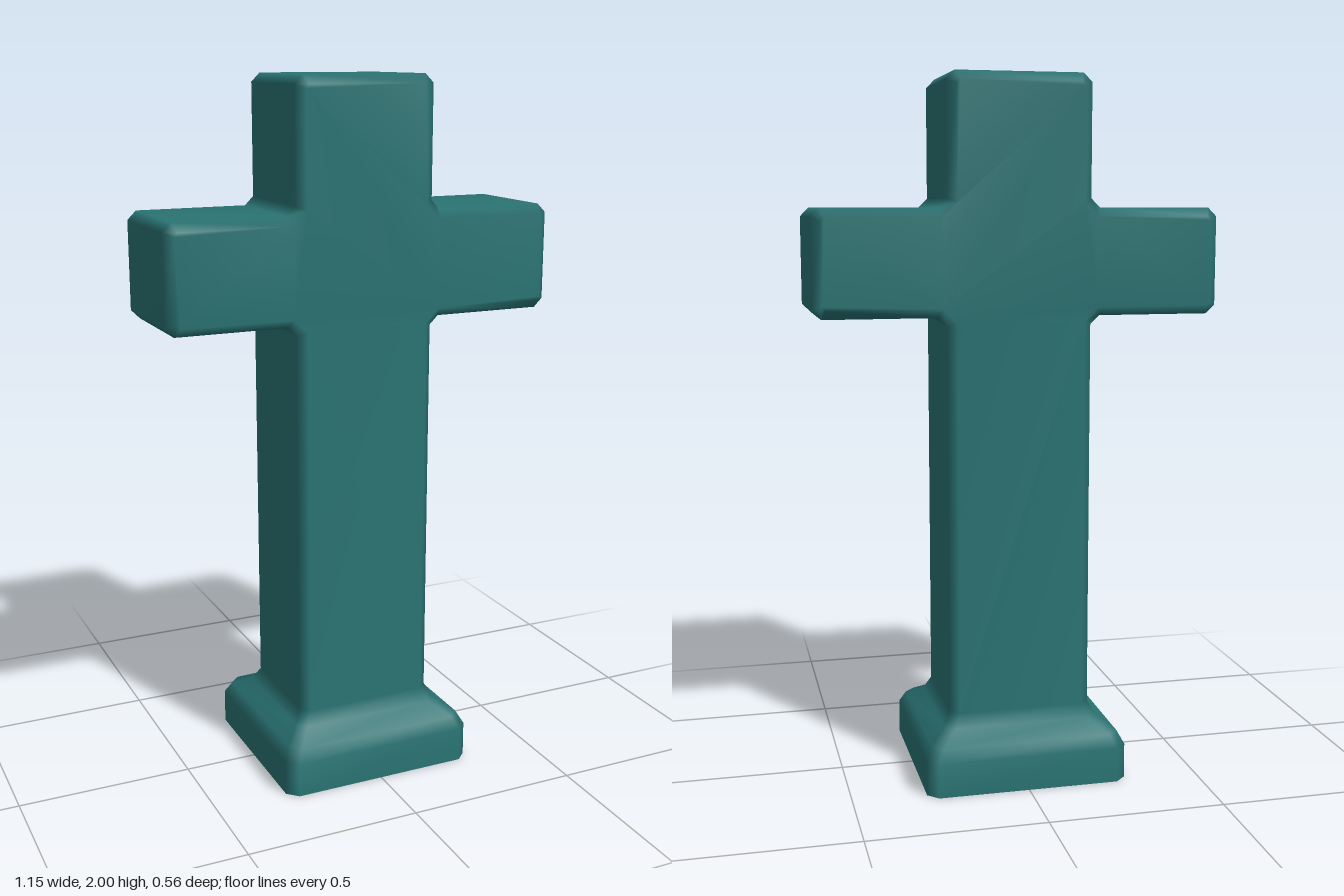
import * as THREE from 'three';
import { mergeGeometries, mergeVertices } from 'three/addons/utils/BufferGeometryUtils.js';

const BEVEL = 0.025;
const SHAFT = { x: 0.205, z: 0.178 };
const JOIN_Y = 0.205; // where the shaft meets the plinth

// Positions of a non-indexed geometry, keeping only triangles that pass the test
function keepTriangles(geometry, test) {
  const src = geometry.getAttribute('position').array;
  const out = [];
  for (let i = 0; i < src.length; i += 9) {
    const tri = Array.from(src.slice(i, i + 9));
    if (test(tri)) out.push(...tri);
  }
  const result = new THREE.BufferGeometry();
  result.setAttribute('position', new THREE.Float32BufferAttribute(out, 3));
  return result;
}

// Bevelled cross: shaft and arms in one outline, open at the bottom
function crossGeometry() {
  const c = BEVEL, w = SHAFT.x, arm = 0.575, low = 1.335, high = 1.635, top = 2;
  const half = [
    [w, 0.12], [w, low - c], [w + c, low], [arm - c, low], [arm, low + c],
    [arm, high - c], [arm - c, high], [w + c, high], [w, high + c],
    [w, top - c], [w - c, top],
  ];
  const mirrored = half.map(([x, y]) => [-x, y]).reverse();
  const shape = new THREE.Shape([...half, ...mirrored].map(([x, y]) => new THREE.Vector2(x, y)));
  const depth = 2 * (SHAFT.z - BEVEL);
  const geo = new THREE.ExtrudeGeometry(shape, {
    depth, bevelEnabled: true, bevelSegments: 1,
    bevelThickness: BEVEL, bevelSize: BEVEL, bevelOffset: -BEVEL,
  });
  geo.translate(0, 0, -depth / 2);
  // Flatten the lower end onto the joint and drop its cap
  const pos = geo.getAttribute('position');
  for (let i = 0; i < pos.count; i++) pos.setY(i, Math.max(pos.getY(i), JOIN_Y));
  return keepTriangles(geo, (t) => Math.max(t[1], t[4], t[7]) > JOIN_Y + 1e-4);
}

// Plinth: chamfered rectangles stacked in loops, open below
function plinthGeometry() {
  const levels = [ // y, half width, half depth, corner chamfer
    [0, 0.29, 0.282, 0.03],
    [0.1, 0.29, 0.282, 0.03],
    [0.135, 0.272, 0.262, 0.03],
    [0.168, 0.225, 0.2, 0.027],
    [JOIN_Y, SHAFT.x, SHAFT.z, BEVEL],
  ];
  const loops = levels.map(([y, x, z, c]) => [
    [x, y, z - c], [x, y, c - z], [x - c, y, -z], [c - x, y, -z],
    [-x, y, c - z], [-x, y, z - c], [c - x, y, z], [x - c, y, z],
  ]);
  const out = [];
  for (let l = 0; l < loops.length - 1; l++) {
    for (let i = 0; i < 8; i++) {
      const j = (i + 1) % 8;
      const a = loops[l][i], b = loops[l][j], d = loops[l + 1][i], e = loops[l + 1][j];
      out.push(...a, ...b, ...e, ...a, ...e, ...d);
    }
  }
  const geo = new THREE.BufferGeometry();
  geo.setAttribute('position', new THREE.Float32BufferAttribute(out, 3));
  return geo;
}

export function createModel() {
  const group = new THREE.Group();
  group.name = 'standingCross';

  // Weld both parts into one shell so shading runs smoothly over the joint
  const shell = mergeVertices(mergeGeometries([crossGeometry(), plinthGeometry()]), 1e-4);
  shell.computeVertexNormals();

  const material = new THREE.MeshStandardMaterial({ color: 0x2a7373, side: THREE.DoubleSide });
  const mesh = new THREE.Mesh(shell, material);
  mesh.name = 'crossOnPlinth';
  group.add(mesh);
  return group;
}
